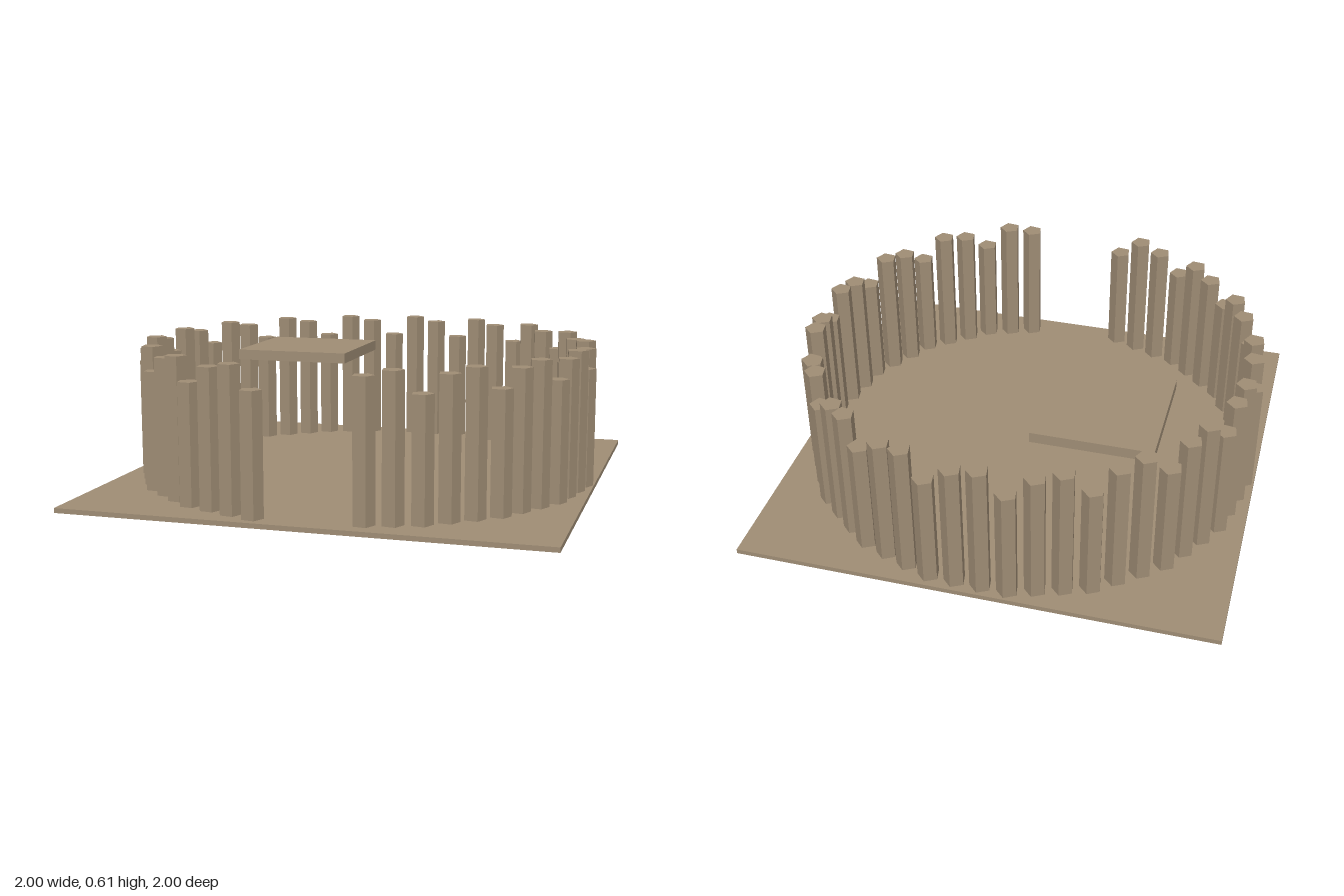
import * as THREE from 'three';

export function createModel() {
  const model = new THREE.Group();
  const wood = new THREE.MeshStandardMaterial({ color: 0x9e8c74 });
  wood.name = 'weathered wood';

  function addBox(name, w, h, d, x, y, z) {
    const mesh = new THREE.Mesh(new THREE.BoxGeometry(w, h, d), wood);
    mesh.name = name;
    mesh.position.set(x, y, z);
    model.add(mesh);
  }

  // Ground slab and the raised platform floating inside the ring
  addBox('groundSlab', 2, 0.02, 2, 0, 0.01, 0);
  addBox('platform', 0.505, 0.045, 0.505, -0.382, 0.507, -0.322);

  // Ring of five-sided posts: 54 places, three left open at the front as a gate
  const palisade = new THREE.Group();
  palisade.name = 'palisade';
  const places = 54, gate = 3, base = 0.02;
  const tops = [0.59, 0.61, 0.52];
  const radii = [0.94, 0.941, 0.952];
  const geometries = tops.map((top) => {
    const g = new THREE.CylinderGeometry(0.046, 0.046, top - base, 5).toNonIndexed();
    g.computeVertexNormals(); // flat sides
    g.rotateY(THREE.MathUtils.degToRad(100));
    g.translate(0, (top + base) / 2, 0);
    return g;
  });
  for (let i = 0; i < places - gate; i++) {
    const kind = i % 3;
    const angle = THREE.MathUtils.degToRad(15.1 + (i * 360) / places);
    const post = new THREE.Mesh(geometries[kind], wood);
    post.name = 'post';
    post.position.set(Math.sin(angle) * radii[kind], 0, Math.cos(angle) * radii[kind] - 0.003);
    palisade.add(post);
  }
  model.add(palisade);

  return model;
}
